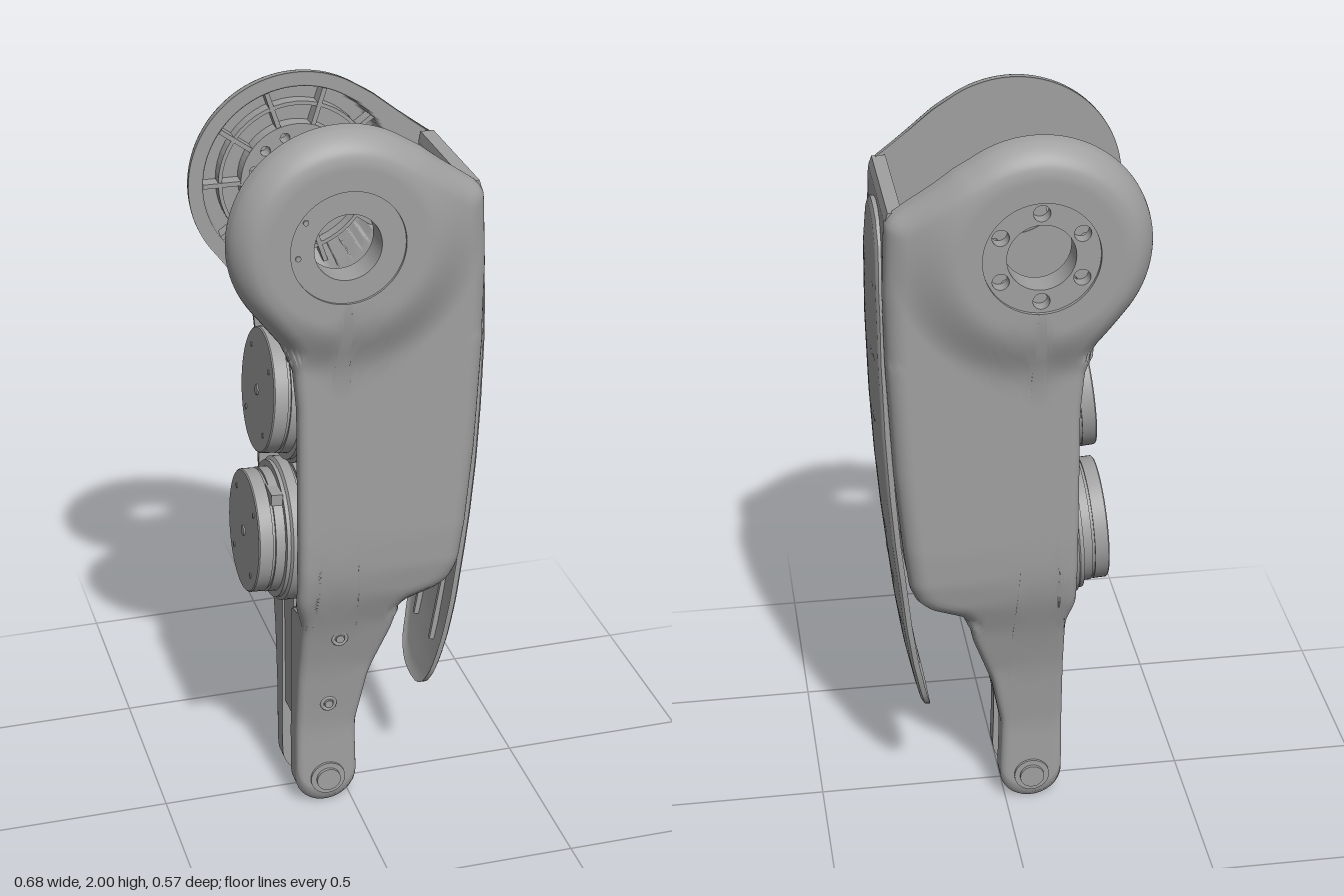
import * as THREE from 'three';
import { toCreasedNormals } from 'three/addons/utils/BufferGeometryUtils.js';

const grey = new THREE.MeshStandardMaterial({ color: 0xa0a0a0 });
grey.name = 'grey';

const HUB = new THREE.Vector2(-0.06, 1.715);
const V = (x, y) => new THREE.Vector2(x, y);

function add(parent, name, geometry, x = 0, y = 0, z = 0) {
  const mesh = new THREE.Mesh(geometry, grey);
  mesh.name = name;
  mesh.position.set(x, y, z);
  parent.add(mesh);
  return mesh;
}

// Piecewise linear lookup in a list of [input, output] pairs
function lookup(table, v) {
  if (v <= table[0][0]) return table[0][1];
  for (let i = 1; i < table.length; i++) {
    const [a, p] = table[i - 1], [b, q] = table[i];
    if (v <= b) return p + (q - p) * (v - a) / (b - a);
  }
  return table[table.length - 1][1];
}

function arc(cx, cy, r, from, to, n) {
  return Array.from({ length: n + 1 }, (_, i) => {
    const a = THREE.MathUtils.degToRad(from + (to - from) * i / n);
    return V(cx + r * Math.cos(a), cy + r * Math.sin(a));
  });
}

function edgeDistance(p, loop) {
  let best = Infinity;
  for (let i = 0; i < loop.length; i++) {
    const a = loop[i], b = loop[(i + 1) % loop.length];
    const dx = b.x - a.x, dy = b.y - a.y;
    const t = THREE.MathUtils.clamp(((p.x - a.x) * dx + (p.y - a.y) * dy) / (dx * dx + dy * dy || 1), 0, 1);
    best = Math.min(best, Math.hypot(p.x - a.x - t * dx, p.y - a.y - t * dy));
  }
  return best;
}

// Closed plate fanned from a centre hole out to a counter-clockwise outline,
// with its two faces given as heights over (x, y)
function plate(loop, centre, hole, outer, inner, side = 1, rings = 32) {
  const pos = [], idx = [], n = loop.length;
  const tri = (a, b, c) => (side > 0 ? idx.push(a, b, c) : idx.push(a, c, b));
  const strip = (a, b) => {
    for (let i = 0; i < n; i++) {
      const j = (i + 1) % n;
      tri(a + i, b + i, b + j);
      tri(a + i, b + j, a + j);
    }
  };
  const grid = [];
  for (let k = 0; k <= rings; k++) {
    const t = k / rings, s = 0.45 * t + 0.55 * (1 - (1 - t) ** 2);
    grid.push(loop.map((q) => {
      const start = q.clone().sub(centre).setLength(hole).add(centre);
      const p = start.lerp(q, s);
      const e = k === rings ? 0 : edgeDistance(p, loop);
      const o = outer(p, e);
      return [p.x, p.y, o, inner(p, o)];
    }));
  }
  const ring = (k, c) => {
    const base = pos.length / 3;
    grid[k].forEach((p) => pos.push(p[0], p[1], p[c] * side));
    return base;
  };
  const face = (c, flip) => {
    const rows = grid.map((_, k) => ring(k, c));
    for (let k = 0; k < rings; k++) flip ? strip(rows[k + 1], rows[k]) : strip(rows[k], rows[k + 1]);
  };
  face(2, false);
  face(3, true);
  strip(ring(rings, 2), ring(rings, 3));
  if (hole > 0.01) strip(ring(0, 3), ring(0, 2));
  const g = new THREE.BufferGeometry();
  g.setAttribute('position', new THREE.Float32BufferAttribute(pos, 3));
  g.setIndex(idx);
  g.computeVertexNormals();
  return g;
}

function extrude(points, depth, holes = []) {
  const shape = new THREE.Shape(points);
  holes.forEach(([x, y, r]) => shape.holes.push(new THREE.Path().absarc(x, y, r, 0, Math.PI * 2, true)));
  return new THREE.ExtrudeGeometry(shape, { depth, bevelEnabled: false, curveSegments: 32 });
}

const zCylinder = (r, length) => new THREE.CylinderGeometry(r, r, length, 32).rotateX(Math.PI / 2);

// Front edge of the housing, bottom to top
const frontEdge = [V(0.265, 0.76), V(0.28, 0.88), V(0.3, 1.1), V(0.315, 1.4), V(0.318, 1.6), V(0.31, 1.79)];

function sidePanels(leg) {
  const corners = [
    ...arc(HUB.x, HUB.y, 0.285, 56, 220, 50),
    V(-0.21, 1.44), V(-0.182, 1.37), V(-0.172, 1.26), V(-0.172, 0.68), V(-0.15, 0.6), V(-0.155, 0.2),
    ...arc(-0.07, 0.085, 0.085, 180, 360, 24),
    V(0.012, 0.18), V(0.012, 0.25), V(0.04, 0.4), V(0.095, 0.56), V(0.105, 0.61), V(0.13, 0.645),
    V(0.21, 0.68), V(0.245, 0.71), ...frontEdge, V(0.295, 1.812), V(0.2, 1.88), V(0.14, 1.927),
  ];
  const loop = new THREE.Shape([...corners, corners[0]]).getSpacedPoints(280).slice(0, -1);
  const width = [[0, 0.115], [0.25, 0.115], [0.45, 0.14], [0.6, 0.178], [0.7, 0.215], [0.78, 0.23], [0.88, 0.235]];
  const cavity = [[0.6, 0.045], [0.66, 0.198]];
  const outer = (p, e) => {
    const d = p.distanceTo(HUB);
    const z = lookup(width, p.y) + 0.05 * (1 - THREE.MathUtils.smoothstep(d, 0.2, 0.36));
    const r = p.y > 1.42 ? 0.055 : p.y < 0.62 ? 0.02 : p.x > 0.05 ? 0.05 : 0.025;
    return e < r ? z - r + Math.sqrt(r * r - (r - e) ** 2) : z;
  };
  for (const side of [1, -1]) {
    const inner = (p, o) => {
      const recess = side < 0 && p.distanceTo(HUB) < 0.245 ? 0.24 : 0;
      return Math.min(Math.max(lookup(cavity, p.y), recess), o - 0.006);
    };
    add(leg, side > 0 ? 'leftShell' : 'rightShell', plate(loop, HUB, 0.145, outer, inner, side));
  }
}

function hubs(leg) {
  const circle = arc(0, 0, 0.147, 0, 360, 64).slice(0, -1);
  const bolts = (n, r) => Array.from({ length: n }, (_, i) => {
    const a = (i + 0.5) / n * Math.PI * 2;
    return [0.115 * Math.cos(a), 0.115 * Math.sin(a), r];
  });
  add(leg, 'leftHubRing', extrude(circle, 0.078, [[0, 0, 0.085]]), HUB.x, HUB.y, 0.2);
  add(leg, 'rightHubOuterRing', extrude(circle, 0.035, [[0, 0, 0.085], ...bolts(6, 0.021)]), HUB.x, HUB.y, -0.275);
  add(leg, 'rightHubInnerRing', extrude(circle, 0.04, [[0, 0, 0.085], ...bolts(12, 0.013)]), HUB.x, HUB.y, -0.24);
  for (const [x, y] of [[-0.165, 1.79], [-0.185, 1.7]]) add(leg, 'hubDowel', zCylinder(0.007, 0.006), x, y, 0.279);
  // Stiffening ribs inside the right cheek
  for (let i = 0; i < 10; i++) {
    const a = i / 10 * Math.PI * 2;
    const rib = add(leg, 'cheekRib', new THREE.BoxGeometry(0.11, 0.012, 0.045),
      HUB.x + 0.195 * Math.cos(a), HUB.y + 0.195 * Math.sin(a), -0.225);
    rib.rotation.z = a;
  }
  add(leg, 'cheekRibRing', extrude(arc(0, 0, 0.205, 0, 360, 48).slice(0, -1), 0.04, [[0, 0, 0.195]]), HUB.x, HUB.y, -0.245);
}

function frontWallAndGuard(leg) {
  const back = frontEdge.map((p) => V(p.x - 0.05, p.y)).reverse();
  const face = frontEdge.map((p) => V(p.x - 0.002, p.y));
  add(leg, 'frontWall', extrude([...face, V(0.3, 1.815), V(0.265, 1.815), ...back], 0.37), 0, 0, -0.185);

  // Curved shin guard, shaped flat and then turned to face forward
  const half = [V(0, 0.3), V(0.05, 0.305), V(0.09, 0.328), V(0.118, 0.37), V(0.137, 0.44), V(0.155, 0.56),
    V(0.172, 0.78), V(0.18, 1.05), V(0.179, 1.35), V(0.17, 1.53), V(0.155, 1.63), V(0.125, 1.71),
    V(0.08, 1.754), V(0.04, 1.768), V(0, 1.772)];
  const mirrored = half.slice(1).reverse().map((p) => V(-p.x, p.y));
  const loop = new THREE.Shape([...half, ...mirrored.slice(1), half[0]]).getSpacedPoints(160).slice(0, -1);
  const bow = [[0.3, 0.22], [0.4, 0.246], [0.5, 0.267], [0.62, 0.285], [0.74, 0.298], [0.88, 0.313],
    [1.03, 0.325], [1.2, 0.334], [1.4, 0.339], [1.6, 0.337], [1.77, 0.326]];
  const outer = (p, e) => lookup(bow, p.y) - 0.3 * p.x * p.x - 0.006 * Math.max(0, 1 - e / 0.01);
  const geo = plate(loop, V(0, 1.03), 0.001, outer, (p, o) => o - 0.014, 1, 20);
  add(leg, 'shinGuard', geo.rotateY(Math.PI / 2));
  // Ribs behind the lower guard
  for (const z of [-0.07, 0.07]) {
    const rib = add(leg, 'guardRib', new THREE.BoxGeometry(0.02, 0.3, 0.012), 0.264, 0.6, z);
    rib.rotation.z = -0.17;
  }
}

function ankle(leg) {
  // Web between the fork arms, with a pocket in its front
  const web = [V(-0.145, 0.245), V(0.005, 0.245), V(0.03, 0.4), V(-0.06, 0.41), V(-0.06, 0.5),
    V(0.065, 0.5), V(0.09, 0.58), V(0.1, 0.64), V(-0.145, 0.64)];
  add(leg, 'forkWeb', extrude(web, 0.1), 0, 0, -0.05);
  add(leg, 'anklePin', zCylinder(0.033, 0.262), -0.07, 0.085);
  for (const s of [1, -1]) add(leg, 'pinCollar', zCylinder(0.048, 0.01), -0.07, 0.085, s * 0.117);
  for (const [x, y, z] of [[-0.05, 0.555, 0.166], [-0.07, 0.33, 0.125]]) {
    add(leg, 'forkBoltRim', new THREE.TorusGeometry(0.018, 0.005, 8, 24), x, y, z);
    add(leg, 'forkBolt', zCylinder(0.011, 0.014), x, y, z);
  }
}

function motor(leg, name, x, y, tilt) {
  const group = new THREE.Group();
  group.name = name;
  group.position.set(x, y, 0);
  group.rotation.z = Math.PI / 2 - tilt;
  leg.add(group);
  // Ribbed body of revolution, its outer face at the local origin
  const profile = [V(0, -0.4), V(0.15, -0.4), V(0.15, -0.37), V(0.19, -0.37), V(0.19, -0.3)];
  for (let i = 0; i < 10; i++) {
    const h = -0.3 + i * 0.02;
    profile.push(V(0.18, h), V(0.18, h + 0.008), V(0.191, h + 0.008), V(0.191, h + 0.02));
  }
  profile.push(V(0.191, -0.085), V(0.182, -0.08), V(0.182, -0.07), V(0.165, -0.07), V(0.165, -0.045),
    V(0.158, -0.045), V(0.158, -0.038), V(0.163, -0.038), V(0.163, -0.003), V(0.16, 0), V(0, 0));
  add(group, 'motorBody', toCreasedNormals(new THREE.LatheGeometry(profile, 64), 0.5));
  add(group, 'motorShaftCap', new THREE.CylinderGeometry(0.014, 0.014, 0.008, 20));
  for (let i = 0; i < 4; i++) {
    const a = (i + 0.5) * Math.PI / 2;
    add(group, 'motorScrew', new THREE.CylinderGeometry(0.007, 0.007, 0.005, 12), 0.125 * Math.cos(a), 0, 0.125 * Math.sin(a));
  }
  add(group, 'motorConnector', new THREE.BoxGeometry(0.03, 0.03, 0.07), 0.14, -0.055, 0.075);
}

export function createModel() {
  const leg = new THREE.Group();
  leg.name = 'robotLeg';
  sidePanels(leg);
  hubs(leg);
  frontWallAndGuard(leg);
  ankle(leg);
  motor(leg, 'upperMotor', -0.222, 1.23, 0.1);
  motor(leg, 'lowerMotor', -0.265, 0.825, 0.06);
  add(leg, 'motorMount', new THREE.BoxGeometry(0.03, 0.72, 0.38), 0.165, 1.06);
  return leg;
}
